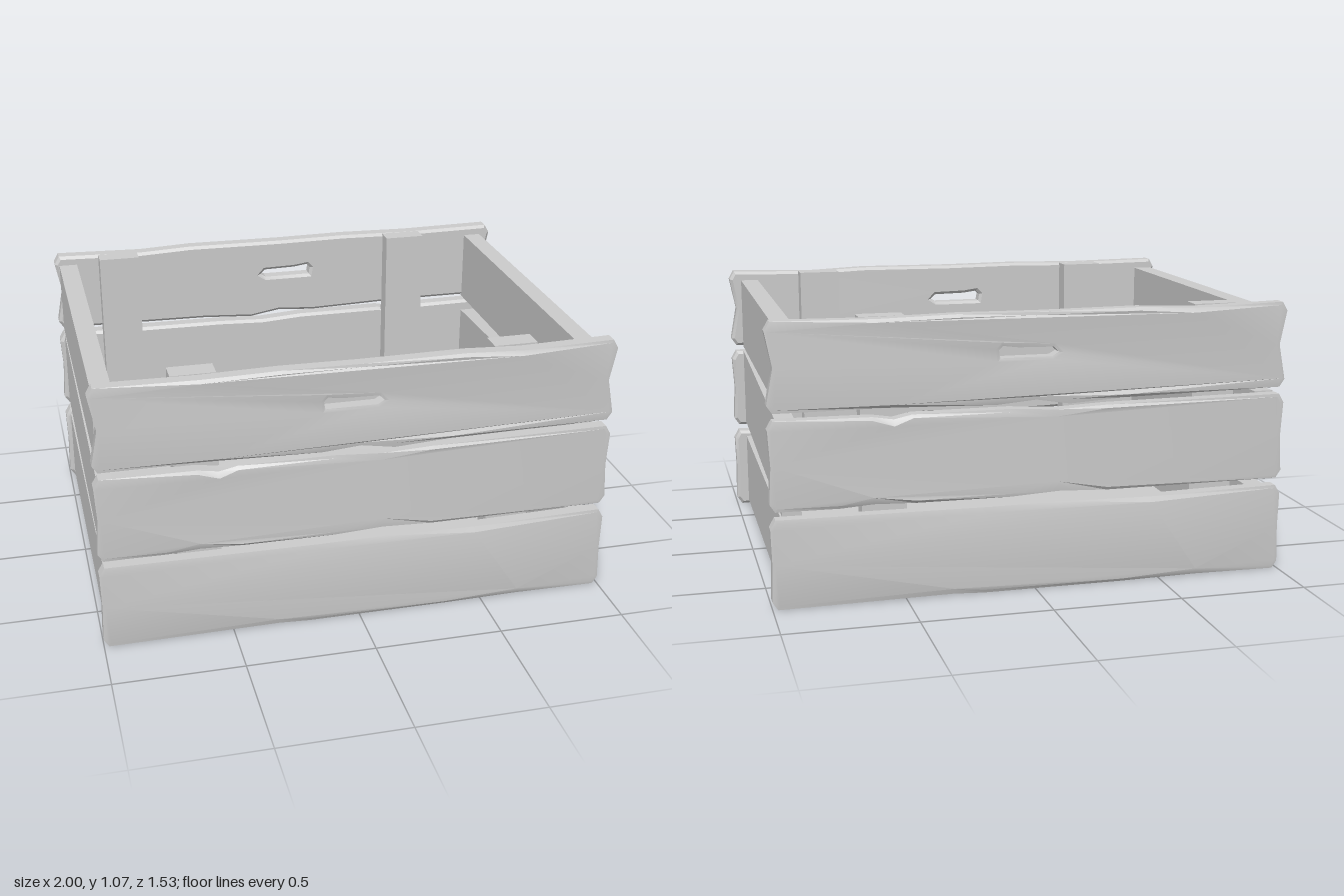
import * as THREE from 'three';
import { toCreasedNormals } from 'three/addons/utils/BufferGeometryUtils.js';

const material = new THREE.MeshStandardMaterial({ color: 0xcccccc });
const BEVEL = 0.012;
const Z_BACK = 0.693, Z_FRONT = 0.765;

const toPath = (points, PathType) => new PathType(points.map(([x, y]) => new THREE.Vector2(x, y)));

// Rounded grip hole, a little wider towards one end
function handlePath() {
  const points = [[-0.14, 0.9], [0.06, 0.9], [0.085, 0.915], [0.065, 0.935], [-0.07, 0.938], [-0.13, 0.946], [-0.145, 0.93]];
  return toPath(points, THREE.Path);
}

// Rough-hewn plank: corners cut off, ends pinched by waist, edges following
// notches [x, shift of the edge, extra shift of its front corner], left to right
function plankGeometry(bottom, top, waist, topNotches, bottomNotches, handle) {
  const middle = (bottom + top) / 2;
  const place = (y) => ([x, shift, cut]) => [x, y + shift, cut];
  const upper = topNotches.map(place(top));
  const lower = bottomNotches.map(place(bottom));
  const shape = toPath([
    [-0.98, top], ...upper, [0.98, top],
    [1, top - 0.035], [1 - waist, middle], [1, bottom + 0.03],
    [0.98, bottom], ...lower.toReversed(), [-0.98, bottom],
    [-1, bottom + 0.03], [waist - 1, middle], [-1, top - 0.035],
  ], THREE.Shape);
  if (handle) shape.holes.push(handlePath());

  const depth = Z_FRONT - Z_BACK - 2 * BEVEL;
  const geometry = new THREE.ExtrudeGeometry(shape, {
    depth, bevelSegments: 1, bevelSize: BEVEL, bevelThickness: BEVEL, bevelOffset: -BEVEL,
  });
  const pos = geometry.attributes.position;
  for (let i = 0; i < pos.count; i++) {
    const x = pos.getX(i), y = pos.getY(i), z = pos.getZ(i);
    if (z < depth + BEVEL / 2) continue;
    // Gentle swell of the front face plus chipped edges
    pos.setZ(i, z - 0.005 * (1 + Math.cos(x * Math.PI * 2)));
    for (const [nx, ny, cut] of [...upper, ...lower]) {
      if (Math.abs(x - nx) < 0.03 && Math.abs(y - ny) < 0.05) pos.setY(i, y + cut);
    }
  }
  geometry.translate(0, 0, Z_BACK + BEVEL);
  return toCreasedNormals(geometry, 0.4);
}

export function createModel() {
  const crate = new THREE.Group();
  crate.name = 'crate';

  const addBox = (name, [x0, x1], [y0, y1], [z0, z1]) => {
    const mesh = new THREE.Mesh(new THREE.BoxGeometry(x1 - x0, y1 - y0, z1 - z0), material);
    mesh.position.set((x0 + x1) / 2, (y0 + y1) / 2, (z0 + z1) / 2);
    mesh.name = name;
    crate.add(mesh);
    return mesh;
  };

  // Each long plank is used in front and, turned round, at the back
  const addPlankPair = (name, geometry) => {
    for (const side of ['front', 'back']) {
      const mesh = new THREE.Mesh(geometry, material);
      mesh.name = `${side} ${name}`;
      if (side === 'back') mesh.rotation.y = Math.PI;
      crate.add(mesh);
    }
  };
  addPlankPair('lowerPlank', plankGeometry(0, 0.342, 0.004,
    [[-0.17, -0.006, -0.01], [0.1, -0.004, 0], [0.46, -0.01, -0.008]],
    [[-0.32, 0.006, 0.01], [-0.2, 0, 0], [0.35, 0, 0], [0.65, 0.004, 0.012]], false));
  addPlankPair('middlePlank', plankGeometry(0.372, 0.709, 0.008,
    [[-0.62, -0.003, 0], [-0.54, -0.016, -0.012], [-0.47, -0.001, 0], [-0.1, -0.001, 0], [0.08, -0.013, -0.015], [0.28, -0.005, 0]],
    [[-0.74, -0.002, 0], [-0.62, 0.006, 0.015], [-0.46, 0, 0], [-0.1, -0.002, 0], [0.09, 0.008, 0.025], [0.28, 0, 0]], false));
  addPlankPair('upperPlank', plankGeometry(0.737, 1.069, 0.026,
    [[-0.6, -0.005, 0], [-0.3, 0.001, 0], [0, -0.002, 0], [0.4, 0.001, 0], [0.62, -0.009, -0.006]],
    [[-0.55, 0, 0], [-0.15, -0.011, 0], [0, 0.001, 0], [0.13, -0.021, 0.006], [0.35, -0.008, 0]], true));

  // Side planks; the middle ones are nailed on crooked
  const sides = [['left', [0.877, 0.95], -0.036], ['right', [-0.98, -0.904], 0.036]];
  for (const [side, xs, tilt] of sides) {
    addBox(`${side} lowerSidePlank`, xs, [0.04, 0.318], [-0.7, 0.7]);
    addBox(`${side} middleSidePlank`, xs, [0.361, 0.686], [-0.7, 0.7]).rotation.x = tilt;
    addBox(`${side} upperSidePlank`, xs, [0.732, 1.03], [-0.7, 0.7]);
  }

  // Floor board
  addBox('floor', [-0.98, 0.95], [0.018, 0.04], [-0.695, 0.695]);

  // Inner posts holding the planks
  const addPost = (name, x, zs) => addBox(name, [x - 0.085, x + 0.085], [0.04, 1.065], zs);
  addPost('front rightPost', -0.615, [0.615, 0.7]);
  addPost('front leftPost', 0.61, [0.615, 0.7]);
  addPost('back rightPost', -0.725, [-0.7, -0.625]);
  addPost('back leftPost', 0.57, [-0.7, -0.625]);

  return crate;
}
